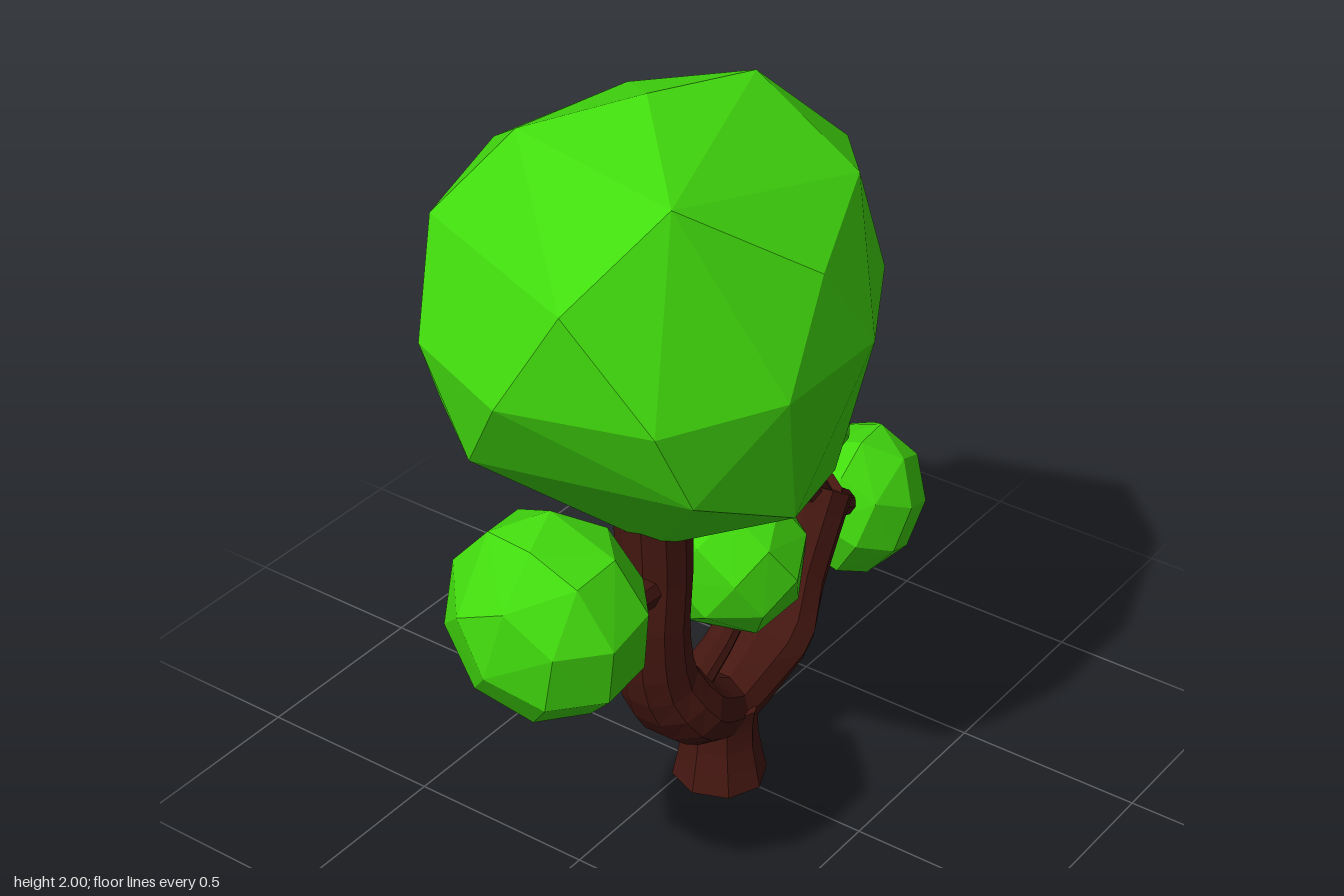
import * as THREE from 'three';
import { ConvexGeometry } from 'three/addons/geometries/ConvexGeometry.js';

// Corner points of the faceted crown
const CROWN = [
  [.02, 2, .22], [.1, 1.96, -.09], [.3, 1.92, .51], [-.21, 1.92, .4], [-.2, 1.88, 0],
  [.17, 1.72, .74], [.5, 1.7, .22], [.38, 1.78, -.1], [.17, 1.7, -.37],
  [-.3, 1.73, -.2], [-.44, 1.75, .2], [-.37, 1.71, .52],
  [.02, 1.46, .79], [.37, 1.45, .67], [.53, 1.46, .39], [.53, 1.46, .05], [.33, 1.43, -.3],
  [0, 1.43, -.4], [-.3, 1.48, -.22], [-.5, 1.46, .06], [-.3, 1.46, .66],
  [-.14, 1.22, .69], [.4, 1.23, .57], [-.38, 1.2, .5], [-.46, 1.22, .2], [.05, 1.13, .55],
  [.49, 1.1, .3], [.4, 1.04, 0], [.1, 1.1, -.25], [-.3, 1.07, 0], [-.3, 1.07, .3],
  [.1, .87, .3], [.08, .83, .08],
].map(p => new THREE.Vector3(...p));

const leafMaterial = new THREE.MeshStandardMaterial({ color: 0x42dc0e, flatShading: true });
const barkMaterial = new THREE.MeshStandardMaterial({ color: 0x451711, flatShading: true, side: THREE.DoubleSide });

// Faceted ball: hull of a golden spiral of points, turned and fitted into a box
function foliage(name, center, size, turn) {
  const count = 32;
  const points = [];
  for (let i = 0; i < count; i++) {
    const y = 1 - (2 * i + 1) / count;
    const r = Math.sqrt(1 - y * y);
    points.push(new THREE.Vector3(r * Math.cos(i * 2.39996), y, r * Math.sin(i * 2.39996)));
  }
  const geometry = new ConvexGeometry(points);
  geometry.rotateY(turn).rotateX(turn * 0.6).center();
  const box = geometry.boundingBox.getSize(new THREE.Vector3());
  geometry.scale(size[0] / box.x, size[1] / box.y, size[2] / box.z).translate(...center);
  const mesh = new THREE.Mesh(geometry, leafMaterial);
  mesh.name = name;
  return mesh;
}

// Tapered limb along [x, y, z, radius] stations, capped at both ends
function limb(name, stations, steps, sides = 10) {
  const curve = new THREE.CatmullRomCurve3(stations.map(s => new THREE.Vector3(s[0], s[1], s[2])));
  const geometry = new THREE.TubeGeometry(curve, steps, 1, sides, false);
  const position = geometry.attributes.position;
  const v = new THREE.Vector3();
  const group = new THREE.Group();
  group.name = name;
  for (let i = 0; i <= steps; i++) {
    const center = curve.getPointAt(i / steps);
    const t = curve.getUtoTmapping(i / steps) * (stations.length - 1);
    const k = Math.min(Math.floor(t), stations.length - 2);
    const radius = THREE.MathUtils.lerp(stations[k][3], stations[k + 1][3], t - k);
    // The wood swells sideways around the fork
    const swell = 1.05 + 0.4 * Math.exp(-(((center.y - 0.34) / 0.07) ** 2));
    const ring = [];
    for (let j = 0; j <= sides; j++) {
      const n = i * (sides + 1) + j;
      v.fromBufferAttribute(position, n).sub(center).multiplyScalar(radius);
      v.x *= swell;
      v.add(center);
      position.setXYZ(n, v.x, v.y, v.z);
      ring.push(v.clone());
    }
    if (i === 0 || i === steps) {
      const points = [];
      for (let j = 0; j < sides; j++) points.push(center, ring[j], ring[j + 1]);
      const cap = new THREE.BufferGeometry().setFromPoints(points);
      cap.computeVertexNormals();
      const end = new THREE.Mesh(cap, barkMaterial);
      end.name = name + 'End';
      group.add(end);
    }
  }
  geometry.computeVertexNormals();
  const mesh = new THREE.Mesh(geometry, barkMaterial);
  mesh.name = name + 'Bark';
  group.add(mesh);
  return group;
}

export function createModel() {
  const tree = new THREE.Group();
  tree.name = 'tree';

  // Trunk and the two main limbs of the fork
  tree.add(
    limb('trunk', [[.07, 0, 0, .12], [.07, .06, 0, .108], [.07, .12, 0, .097], [.07, .17, 0, .096], [.07, .23, 0, .1]], 8, 8),
    limb('frontLimb', [[.07, .2, -.03, .085], [.07, .25, .08, .095], [.07, .34, .195, .096], [.07, .46, .262, .093],
      [.07, .62, .285, .09], [.07, .78, .272, .09], [.07, .97, .28, .092]], 14),
    limb('backLimb', [[.07, .2, .03, .085], [.07, .25, -.08, .095], [.07, .34, -.2, .096], [.06, .46, -.33, .094],
      [.05, .55, -.405, .095], [.045, .625, -.455, .098]], 11),
  );

  // Thin branches carrying the small foliage
  tree.add(
    limb('frontBranch', [[.08, .76, .3, .055], [.08, .77, .44, .05], [.1, .83, .55, .05], [.13, .93, .68, .045]], 6),
    limb('innerBranch', [[.09, .36, .22, .045], [.09, .395, .11, .037], [.08, .43, 0, .034], [.07, .48, -.08, .034]], 5),
    limb('upperBackBranch', [[.05, .6, -.43, .06], [.05, .69, -.37, .05], [.04, .79, -.3, .045], [.04, .9, -.27, .04]], 5),
    limb('sideBackBranch', [[.04, .6, -.45, .05], [-.08, .61, -.46, .045], [-.2, .65, -.46, .042], [-.28, .73, -.48, .04],
      [-.32, .86, -.5, .038]], 8),
    limb('lowerBackBranch', [[.045, .59, -.46, .07], [.035, .54, -.52, .05], [.02, .48, -.61, .04], [-.02, .42, -.72, .038]], 5),
  );

  // Foliage
  const crown = new THREE.Mesh(new ConvexGeometry(CROWN), leafMaterial);
  crown.name = 'crown';
  tree.add(
    crown,
    foliage('frontFoliage', [.145, .96, .77], [.47, .5, .43], 1.1),
    foliage('upperBackFoliage', [.04, .955, -.26], [.41, .41, .38], 2.3),
    foliage('sideBackFoliage', [-.325, .95, -.505], [.41, .42, .37], 3.7),
    foliage('innerFoliage', [.07, .65, -.05], [.4, .44, .36], 4.6),
    foliage('lowerBackFoliage', [-.04, .39, -.775], [.37, .41, .41], 5.5),
  );
  return tree;
}
